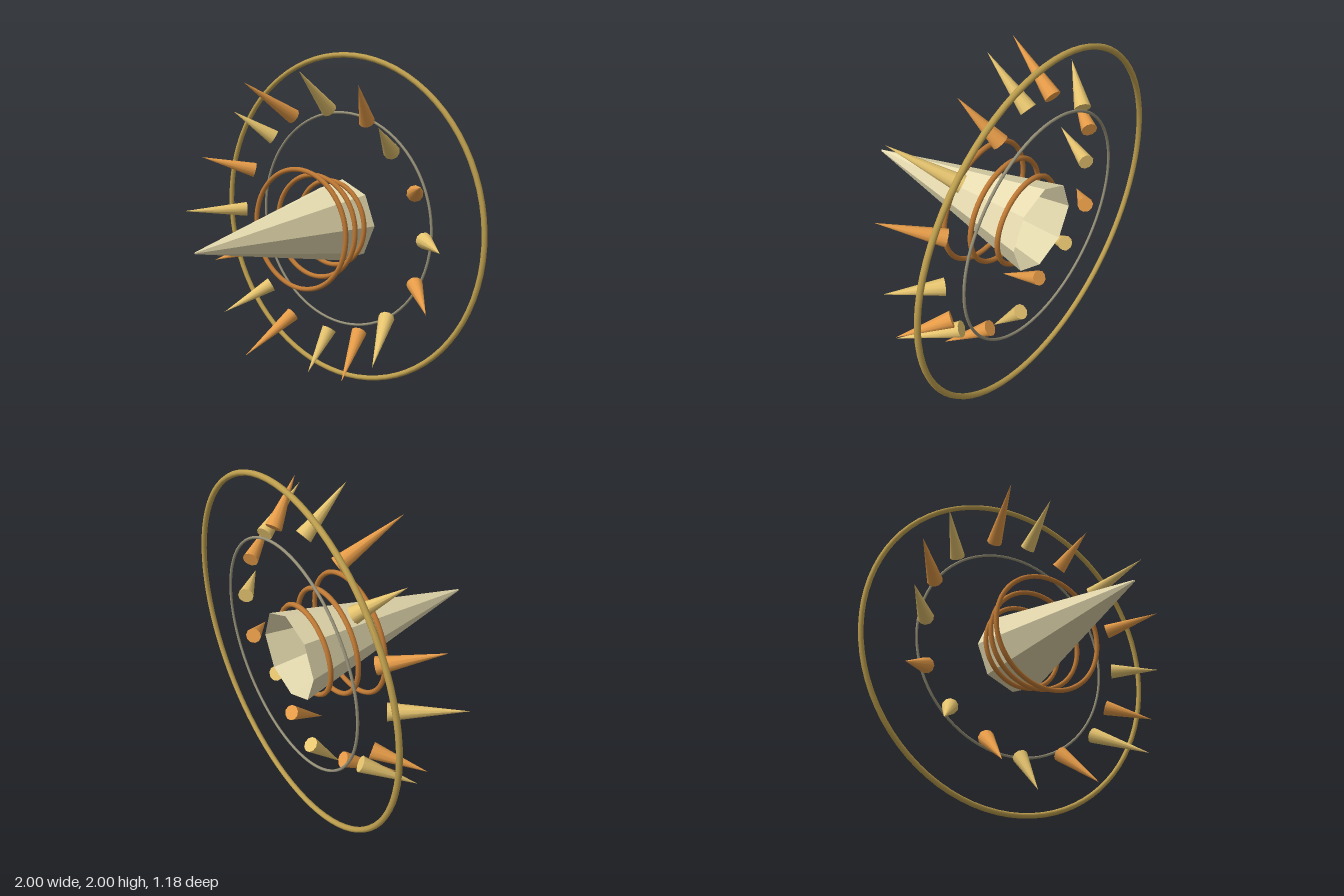
import * as THREE from 'three';

const mat = (name, color, extra = {}) => {
  const m = new THREE.MeshStandardMaterial({ color, ...extra });
  m.name = name;
  return m;
};

export function createModel() {
  const brass = mat('brass', 0xbe9f4e);
  const copper = mat('copper', 0xc07a35);
  const steel = mat('grey steel', 0x969078);
  const ivory = mat('ivory', 0xe6dbb0, { flatShading: true, side: THREE.DoubleSide });
  const gold = mat('gold', 0xe8c670);
  const orange = mat('orange', 0xeb9f4a);

  const model = new THREE.Group();
  model.name = 'spikedRings';
  const centre = new THREE.Group(); // everything is arranged round the z axis
  centre.name = 'assembly';
  centre.position.y = 1;
  model.add(centre);

  const add = (name, geometry, material) => {
    const mesh = new THREE.Mesh(geometry, material);
    mesh.name = name;
    centre.add(mesh);
    return mesh;
  };
  const ring = (name, radius, tube, z, material) => {
    add(name, new THREE.TorusGeometry(radius, tube, 8, 80), material).position.z = z;
  };

  // Large hoop and thin inner hoop in the back plane
  ring('outerHoop', 0.984, 0.016, -0.575, brass);
  ring('innerHoop', 0.65, 0.008, -0.575, steel);

  // Eight-sided hollow horn, open at the back and at its tiny tip
  const horn = new THREE.CylinderGeometry(0.005, 0.252, 1.165, 8, 1, true);
  horn.rotateX(Math.PI / 2);
  add('horn', horn, ivory).position.z = 0.0075;

  // Rings round the horn, widening toward the front
  for (let i = 0; i < 3; i++) {
    ring('hornRing', 0.255 + i * 0.0475, 0.0145, -0.473 + i * 0.139, copper);
  }

  // Sixteen spikes leaning outward and forward, in three lengths
  const up = new THREE.Vector3(0, 1, 0);
  for (let i = 0; i < 16; i++) {
    const a = (i * Math.PI) / 8;
    const step = i % 3;
    const at = (r, z) => new THREE.Vector3(r * Math.cos(a), r * Math.sin(a), z);
    const base = at(0.672, -0.472 + step * 0.027);
    const tip = at(0.902, -0.28 + step * 0.097);
    const dir = tip.clone().sub(base);
    const spike = add('spike', new THREE.ConeGeometry(0.046, dir.length(), 10), i % 2 ? orange : gold);
    spike.position.copy(base).add(tip).multiplyScalar(0.5);
    spike.quaternion.setFromUnitVectors(up, dir.normalize());
  }

  return model;
}
